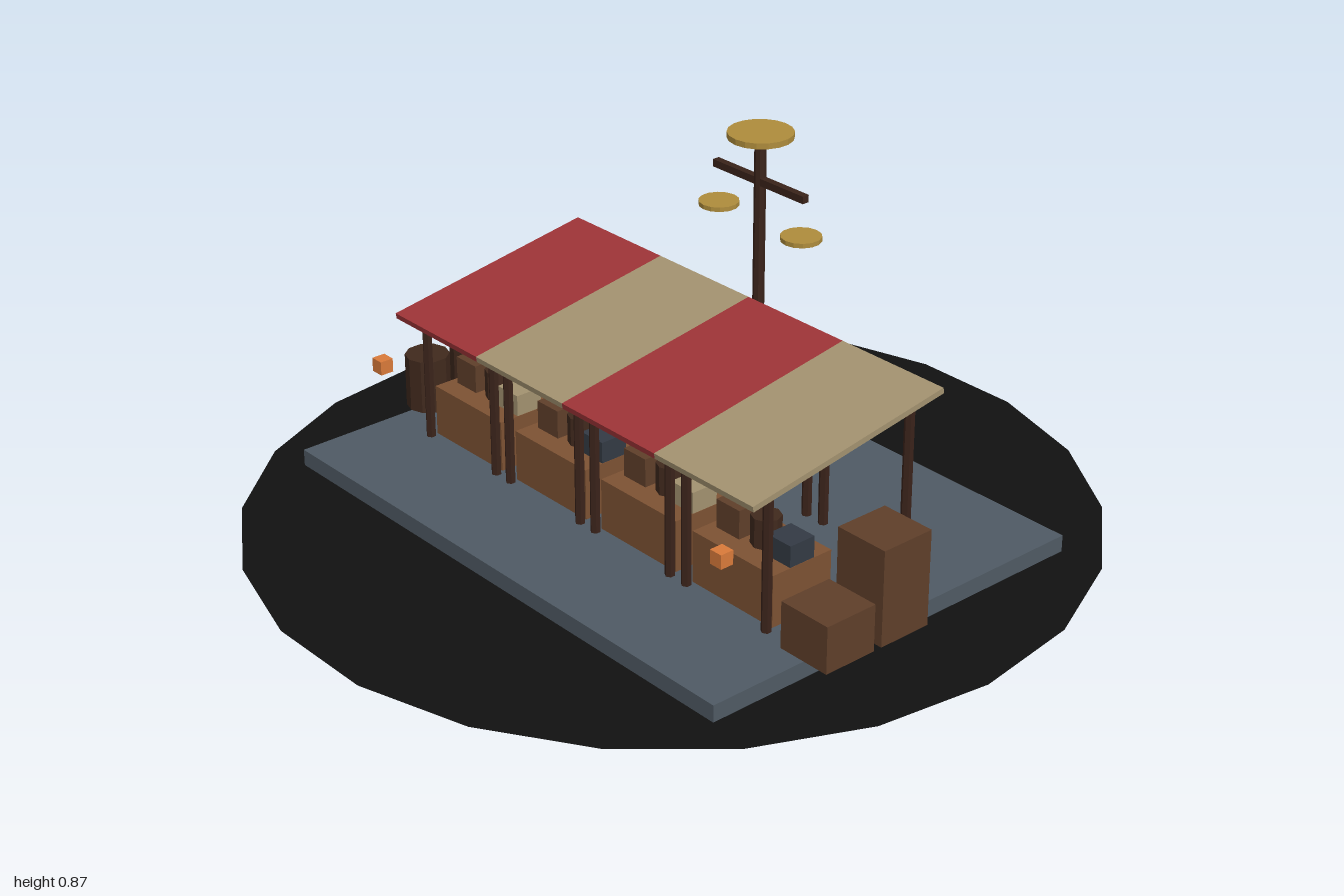
import * as THREE from 'three';

const paint = (color) => new THREE.MeshStandardMaterial({ color, flatShading: true });

export function createModel() {
  const model = new THREE.Group();
  model.name = 'marketStalls';

  const postWood = paint(0x3a231a), counterWood = paint(0x7d5233), crateWood = paint(0x5f3f2a);
  const barrelWood = paint(0x40291d), stone = paint(0x4f5a64), red = paint(0x9e3437);
  const tan = paint(0xa39270), brass = paint(0xae8c3c), slate = paint(0x333a44), glow = paint(0xd97a3a);

  const add = (name, geometry, material, x, y, z, parent = model) => {
    const mesh = new THREE.Mesh(geometry, material);
    mesh.name = name;
    mesh.position.set(x, y, z);
    parent.add(mesh);
    return mesh;
  };
  // Parts given by the height of their underside
  const box = (name, w, h, d, mat, x, y, z, parent) =>
    add(name, new THREE.BoxGeometry(w, h, d), mat, x, y + h / 2, z, parent);
  const rod = (name, r, h, sides, mat, x, y, z, parent) =>
    add(name, new THREE.CylinderGeometry(r, r, h, sides), mat, x, y + h / 2, z, parent);

  // Ground ring and paved slab
  const ringMat = paint(0x111111);
  ringMat.side = THREE.DoubleSide;
  const ring = add('groundRing', new THREE.RingGeometry(0.45, 1, 22), ringMat, 0, 0, 0);
  ring.rotation.x = -Math.PI / 2;
  const floor = 0.043;
  box('slab', 1.465, floor - 0.002, 1.055, stone, 0, 0.002, 0);

  // Four stalls, each with counter, goods, posts and one awning panel
  const tilt = 0.161, awningY = 0.417, awningZ = 0.043;
  for (let i = 0; i < 4; i++) {
    const stall = new THREE.Group();
    stall.name = 'stall';
    stall.position.x = (i - 1.5) * 0.31;
    model.add(stall);

    const awning = add('awning', new THREE.BoxGeometry(0.31, 0.014, 0.562), i % 2 ? tan : red, 0, awningY, awningZ, stall);
    awning.rotation.x = tilt;

    for (const x of [-0.128, 0.128]) {
      for (const z of [0.253, -0.16]) {
        const top = awningY - (z - awningZ) * Math.tan(tilt);
        rod('post', 0.012, top - floor, 6, postWood, x, floor, z, stall);
      }
    }

    const top = 0.17;
    box('counter', 0.255, top - floor, 0.17, counterWood, 0, floor, 0.15, stall);
    box('goodsCrate', 0.073, 0.07, 0.07, crateWood, -0.07, top, 0.15, stall);
    rod('goodsBarrel', 0.035, 0.07, 8, barrelWood, 0.014, top, 0.15, stall);
    box('goodsBundle', 0.073, 0.052, 0.07, i % 2 ? slate : tan, 0.09, top, 0.15, stall);
  }

  // Mast with crossbar and hanging discs
  const mastZ = -0.264;
  rod('mast', 0.014, 0.83, 8, postWood, 0, 0, mastZ);
  box('crossbar', 0.3, 0.018, 0.018, postWood, 0, 0.741, mastZ);
  rod('topDisc', 0.077, 0.014, 18, brass, 0, 0.855, mastZ);
  for (const side of [-1, 1]) {
    rod('sideDisc', 0.048, 0.011, 14, brass, side * 0.138, 0.648, mastZ);
    // Lantern in front of each end stall
    box('lantern', 0.034, 0.034, 0.034, glow, side * 0.594, 0.257, 0.383);
  }

  // Barrels at one end, crates at the other
  for (const z of [0.02, 0.155]) rod('barrel', 0.055, 0.137, 10, barrelWood, -0.734, floor, z);
  box('tallCrate', 0.138, 0.232, 0.138, crateWood, 0.731, floor, 0.047);
  box('lowCrate', 0.138, 0.114, 0.138, crateWood, 0.731, floor, 0.207);

  return model;
}
